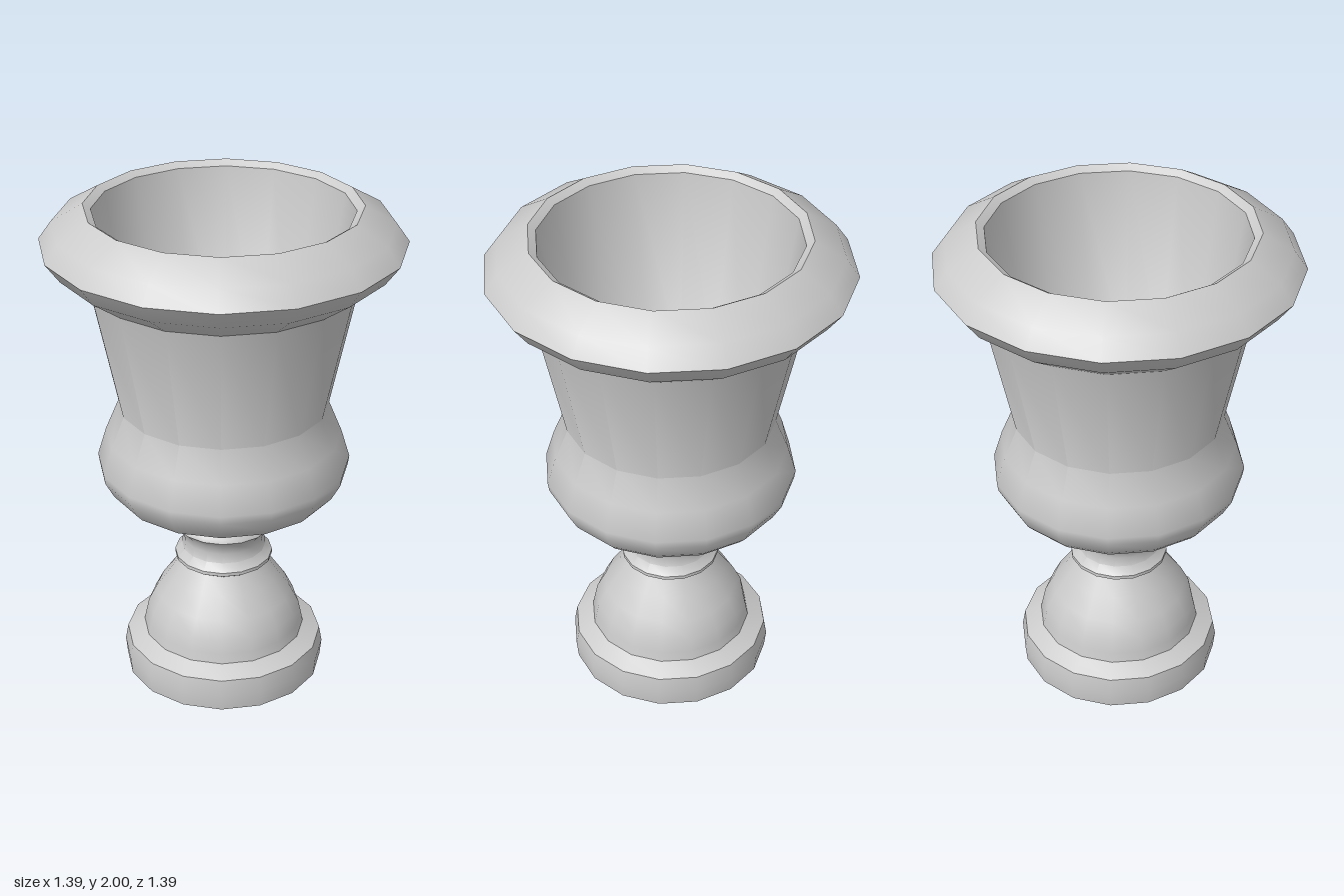
import * as THREE from 'three';
import { toCreasedNormals } from 'three/addons/utils/BufferGeometryUtils.js';

const SIDES = 16;

export function createModel() {
  const urn = new THREE.Group();
  urn.name = 'urn';
  const material = new THREE.MeshStandardMaterial({ color: 0xcccccc });

  // Turn a [radius, height] profile, listed so that its outside is on the right going up
  const turn = (name, profile) => {
    const points = profile.map(([r, y]) => new THREE.Vector2(r, y));
    const lathe = new THREE.LatheGeometry(points, SIDES);
    const mesh = new THREE.Mesh(toCreasedNormals(lathe, THREE.MathUtils.degToRad(40)), material);
    mesh.name = name;
    urn.add(mesh);
  };

  // Round plinth with a closed underside
  turn('plinth', [[0, 0], [0.405, 0], [0.412, 0.07], [0.4, 0.135], [0.33, 0.17]]);

  // Flared foot
  turn('foot', [[0.33, 0.17], [0.322, 0.21], [0.31, 0.265], [0.275, 0.335], [0.22, 0.415], [0.175, 0.485]]);

  // Narrow neck between two rings
  turn('neck', [
    [0.175, 0.485], [0.198, 0.5], [0.198, 0.515], [0.17, 0.545], [0.165, 0.585],
    [0.172, 0.62], [0.198, 0.65], [0.192, 0.665], [0.17, 0.69],
  ]);

  // Bulging bowl and tapered wall
  turn('bowl', [
    [0.165, 0.69], [0.265, 0.757], [0.395, 0.8], [0.435, 0.822], [0.46, 0.85],
    [0.495, 0.915], [0.5, 0.95], [0.465, 1.065], [0.413, 1.19], [0.52, 1.7],
  ]);

  // Overhanging rim
  turn('rim', [[0.52, 1.7], [0.64, 1.785], [0.695, 1.86], [0.645, 1.93], [0.525, 2]]);

  // Inner lip, wall and floor
  turn('interior', [[0.525, 2], [0.495, 1.98], [0.37, 1.19], [0.312, 1.13], [0, 1.13]]);

  return urn;
}
